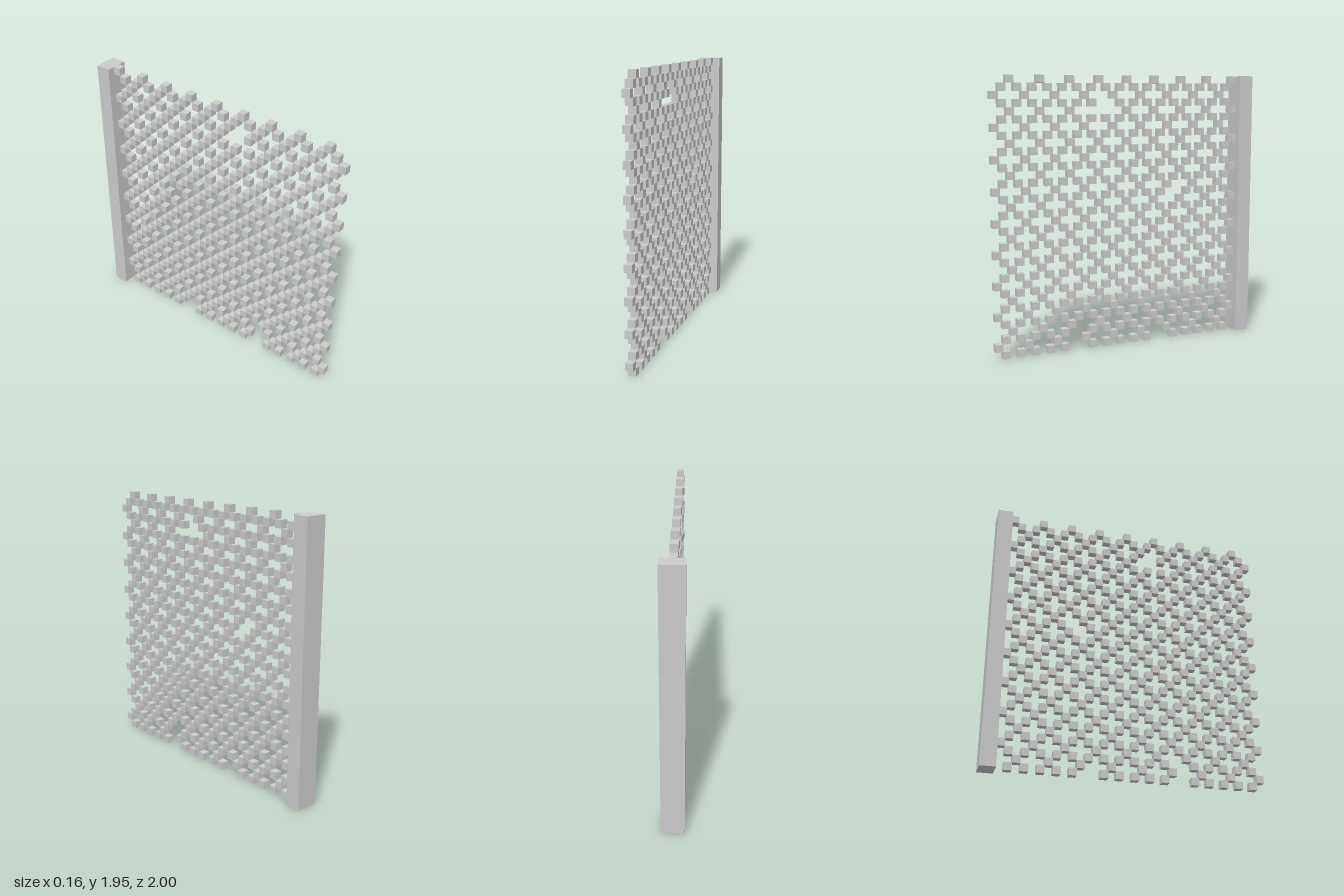
import * as THREE from 'three';
import { mergeGeometries } from 'three/addons/utils/BufferGeometryUtils.js';

const CELL = 2 / 37; // whole piece sits on a 37 x 36 grid of cubes
const COLS = 35;
const ROWS = 36;

// Cubes missing from the mesh, as "column,row" counted from the front bottom
const GAPS = new Set(['11,0', '11,2', '23,0', '25,20', '14,31', '15,32']);

// Diagonal lattice: odd columns on even rows, staggered crossings on odd rows
function isWire(col, row) {
  if (GAPS.has(`${col},${row}`)) return false;
  if (row % 2 === 0) return col % 2 === 1;
  return col % 4 === (row % 4 === 1 ? 0 : 2);
}

export function createModel() {
  const group = new THREE.Group();
  group.name = 'chainFence';
  const material = new THREE.MeshStandardMaterial({ color: 0xcccccc, flatShading: true });

  // Wire mesh made of small cubes
  const cubes = [];
  for (let row = 0; row < ROWS; row++) {
    for (let col = 0; col < COLS; col++) {
      if (!isWire(col, row)) continue;
      const cube = new THREE.BoxGeometry(CELL, CELL, CELL);
      cube.translate(0, (row + 0.5) * CELL, 1 - (col + 0.5) * CELL);
      cubes.push(cube);
    }
  }
  const wire = new THREE.Mesh(mergeGeometries(cubes), material);
  wire.name = 'wireMesh';
  group.add(wire);

  // Upright post at the back end
  const post = new THREE.Mesh(new THREE.BoxGeometry(3 * CELL, ROWS * CELL, 2 * CELL), material);
  post.name = 'post';
  post.position.set(0, (ROWS * CELL) / 2, -1 + CELL);
  group.add(post);

  return group;
}
